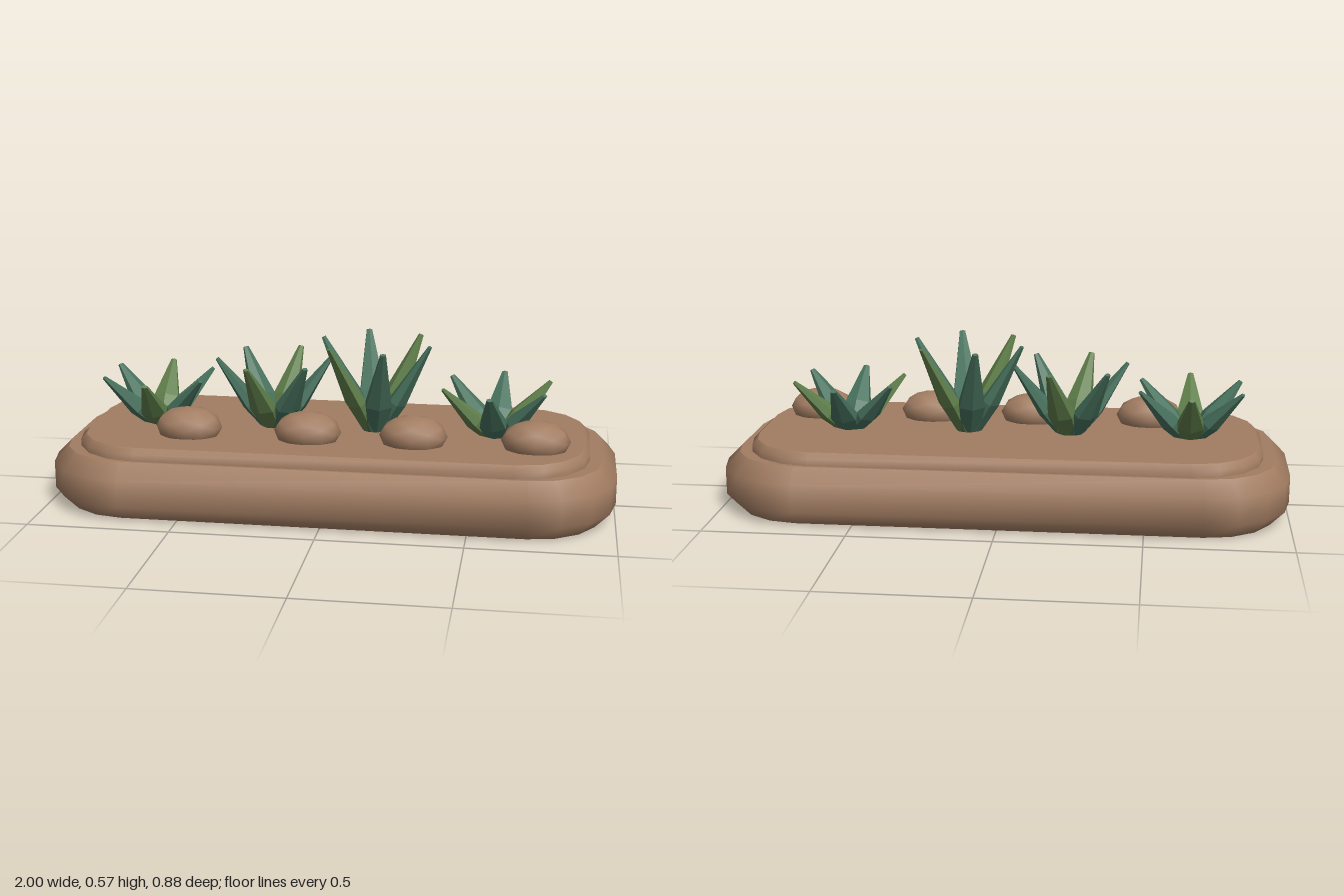
import * as THREE from 'three';
import { mergeVertices } from 'three/addons/utils/BufferGeometryUtils.js';

// Rounded-rectangle slab: side wall lofted through [inset, y] rings, flat caps.
function slabGeometry(hx, hz, radius, profile) {
  const steps = 4;
  const pos = [], idx = [];
  const ring = (inset, y) => {
    const r = radius - inset;
    for (let q = 0; q < 4; q++) {
      const sx = q === 0 || q === 3 ? 1 : -1;
      const sz = q < 2 ? 1 : -1;
      for (let i = 0; i <= steps; i++) {
        const a = (q + i / steps) * Math.PI / 2;
        pos.push(sx * (hx - radius) + r * Math.cos(a), y, sz * (hz - radius) + r * Math.sin(a));
      }
    }
  };
  const n = 4 * (steps + 1);
  profile.forEach(([inset, y]) => ring(inset, y));
  for (let k = 0; k < profile.length - 1; k++) {
    for (let i = 0; i < n; i++) {
      const a = k * n + i, b = k * n + (i + 1) % n;
      idx.push(a, a + n, b, b, a + n, b + n);
    }
  }
  // Caps have their own vertices so their edges stay sharp
  [profile[0], profile[profile.length - 1]].forEach(([inset, y], top) => {
    const s = pos.length / 3;
    ring(inset, y);
    pos.push(0, y, 0);
    for (let i = 0; i < n; i++) {
      const a = s + i, b = s + (i + 1) % n;
      if (top) idx.push(s + n, b, a);
      else idx.push(s + n, a, b);
    }
  });
  const g = new THREE.BufferGeometry();
  g.setAttribute('position', new THREE.Float32BufferAttribute(pos, 3));
  g.setIndex(idx);
  g.computeVertexNormals();
  return g;
}

// Smooth low-poly pebble
function pebbleGeometry() {
  let g = new THREE.IcosahedronGeometry(1, 1);
  g.deleteAttribute('normal');
  g.deleteAttribute('uv');
  g = mergeVertices(g, 1e-3);
  g.scale(0.12, 0.073, 0.087);
  g.computeVertexNormals();
  return g;
}

export function createModel() {
  const clay = new THREE.MeshStandardMaterial({ color: 0xa27d62 });
  clay.name = 'clay brown';
  const green = new THREE.MeshStandardMaterial({ color: 0x47715d, flatShading: true });
  green.name = 'blue green';
  const olive = new THREE.MeshStandardMaterial({ color: 0x5f7e4a, flatShading: true });
  olive.name = 'olive green';

  const model = new THREE.Group();
  model.name = 'succulentPlanter';
  const add = (parent, name, geometry, material) => {
    const mesh = new THREE.Mesh(geometry, material);
    mesh.name = name;
    parent.add(mesh);
    return mesh;
  };

  // Planter tray and raised bed
  add(model, 'tray', slabGeometry(1, 0.44, 0.3,
    [[0.053, 0], [0, 0.055], [0, 0.152], [0.053, 0.205]]), clay);
  add(model, 'raisedBed', slabGeometry(0.905, 0.378, 0.25,
    [[0, 0.2], [0, 0.229], [0.021, 0.248]]), clay);

  // Leaf: unit-length tapered spindle, six sides
  const leaf = new THREE.LatheGeometry([
    [0, 0], [0.03, 0], [0.047, 0.38], [0.01, 1], [0, 1],
  ].map(([r, y]) => new THREE.Vector2(r, y)), 6);

  // Rosettes: x position, tip height, first olive leaf angle in degrees
  const baseY = 0.235, reach = 0.205;
  [[-0.652, 0.43, -90], [-0.225, 0.502, -72], [0.142, 0.573, -44], [0.575, 0.43, -25]]
    .forEach(([x, tipY, start]) => {
      const plant = new THREE.Group();
      plant.name = 'succulent';
      plant.position.set(x, baseY, 0);
      const rise = tipY - baseY - 0.004;
      const run = reach - 0.015;
      for (let k = 0; k < 6; k++) {
        const stem = new THREE.Group();
        stem.name = 'leafPivot';
        stem.rotation.y = Math.PI / 2 - THREE.MathUtils.degToRad(start + k * 60);
        const blade = add(stem, 'leaf', leaf, k % 3 === 0 ? olive : green);
        blade.position.z = 0.015;
        blade.rotation.x = Math.atan2(run, rise);
        blade.scale.set(1.12, Math.hypot(run, rise), 0.7);
        plant.add(stem);
      }
      model.add(plant);
    });

  // Pebbles in front of the plants
  const pebble = pebbleGeometry();
  [-0.505, -0.078, 0.295, 0.718].forEach((x) => {
    add(model, 'pebble', pebble, clay).position.set(x, 0.276, 0.16);
  });

  return model;
}
